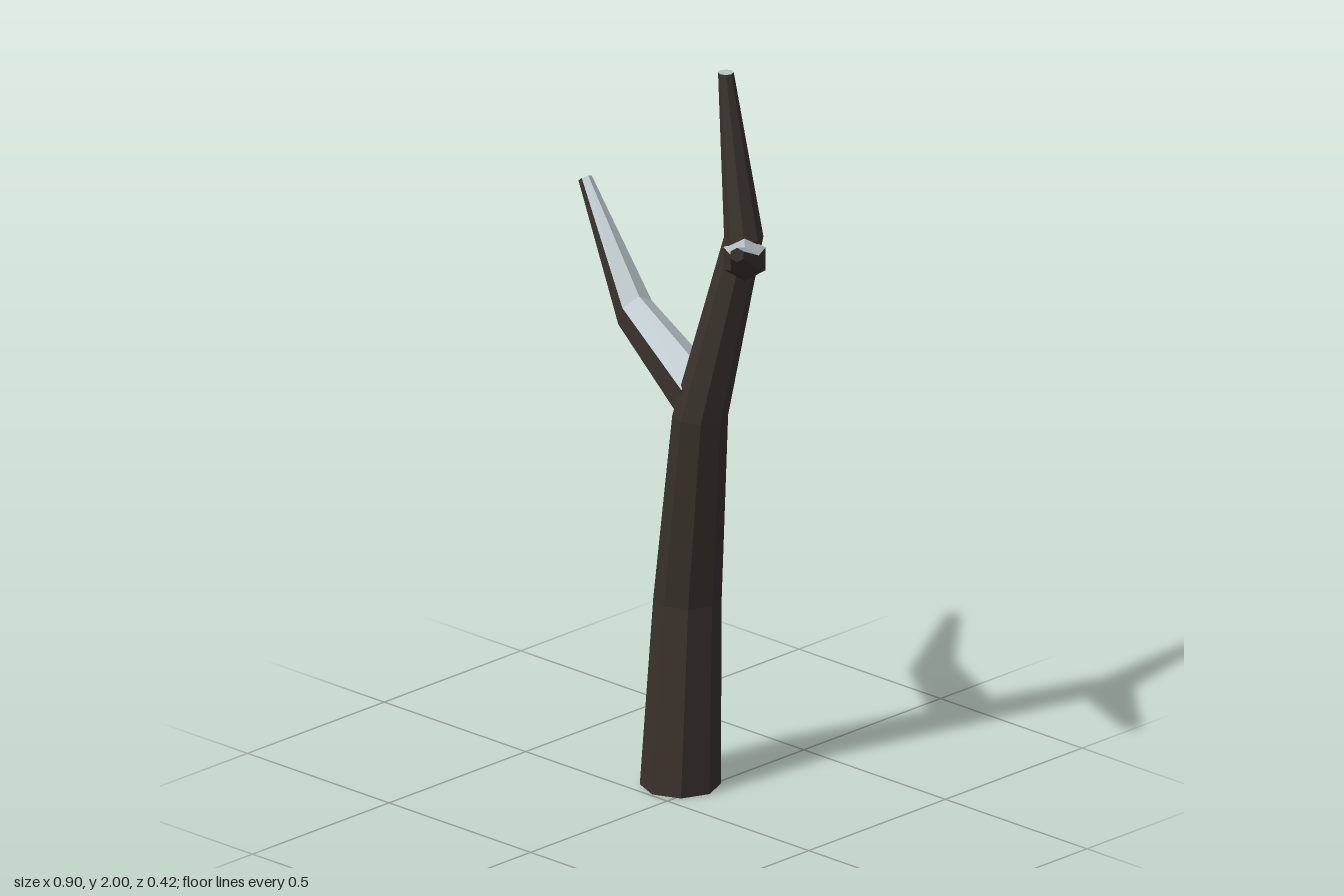
import * as THREE from 'three';

const bark = new THREE.MeshStandardMaterial({ color: 0x3a322c, flatShading: true });
const pale = new THREE.MeshStandardMaterial({ color: 0xb8c4c8, flatShading: true });

function facets(name, points, material) {
  const geometry = new THREE.BufferGeometry().setFromPoints(points);
  geometry.computeVertexNormals();
  const mesh = new THREE.Mesh(geometry, material);
  mesh.name = name;
  return mesh;
}

// Faceted limb through rings [x, y, z, radius, pitch in degrees];
// heading is the limb's horizontal direction.
function limb(name, sides, heading, rings, paleTop) {
  const h = new THREE.Vector3(heading[0], 0, heading[1]).normalize();
  const up = new THREE.Vector3(0, 1, 0);
  const side = h.clone().cross(up);
  const centres = rings.map(([x, y, z]) => new THREE.Vector3(x, y, z));
  const loops = rings.map(([, , , r, pitch], i) => {
    const t = THREE.MathUtils.degToRad(pitch);
    const rise = up.clone().multiplyScalar(Math.cos(t)).addScaledVector(h, -Math.sin(t));
    return Array.from({ length: sides }, (_, j) => {
      const a = (j / sides) * Math.PI * 2;
      return centres[i].clone()
        .addScaledVector(rise, r * Math.cos(a))
        .addScaledVector(side, r * Math.sin(a));
    });
  });

  const dark = [], light = [];
  const last = rings.length - 1;
  const lightCap = rings[last][4] > 40;
  for (let j = 0; j < sides; j++) {
    const k = (j + 1) % sides;
    const onTop = paleTop && (j === 0 || j === sides - 1);
    for (let i = 0; i < last; i++) {
      const a = loops[i][j], b = loops[i][k], c = loops[i + 1][k], d = loops[i + 1][j];
      (onTop ? light : dark).push(a, b, c, a, c, d);
    }
    // End caps
    dark.push(centres[0], loops[0][k], loops[0][j]);
    (lightCap ? light : dark).push(centres[last], loops[last][j], loops[last][k]);
  }

  const group = new THREE.Group();
  group.name = name;
  group.add(facets(name + 'Bark', dark, bark));
  if (light.length) group.add(facets(name + 'PaleFaces', light, pale));
  return group;
}

export function createModel() {
  const model = new THREE.Group();
  model.name = 'bareTree';

  // Bent, tapering trunk with level rings
  model.add(limb('trunk', 8, [1, 0], [
    [-0.06, 0, -0.11, 0.103, 90],
    [-0.025, 0.52, -0.1, 0.087, 90],
    [0.073, 1.06, -0.045, 0.071, 90],
    [0.193, 1.57, -0.08, 0.05, 90],
    [0.13, 2, -0.08, 0.02, 90],
  ], false));

  // Long lower branch
  model.add(limb('lowerBranch', 6, [-0.48, -0.09], [
    [0.06, 1.1, -0.06, 0.075, 10],
    [-0.215, 1.245, -0.105, 0.053, 20],
    [-0.435, 1.54, -0.15, 0.018, 52],
  ], true));

  // Short upper branch, reaching forward
  model.add(limb('upperBranch', 6, [0.24, 0.26], [
    [0.205, 1.515, -0.07, 0.062, 0],
    [0.308, 1.56, 0.035, 0.041, 4],
    [0.437, 1.662, 0.197, 0.019, 8],
  ], true));

  return model;
}
